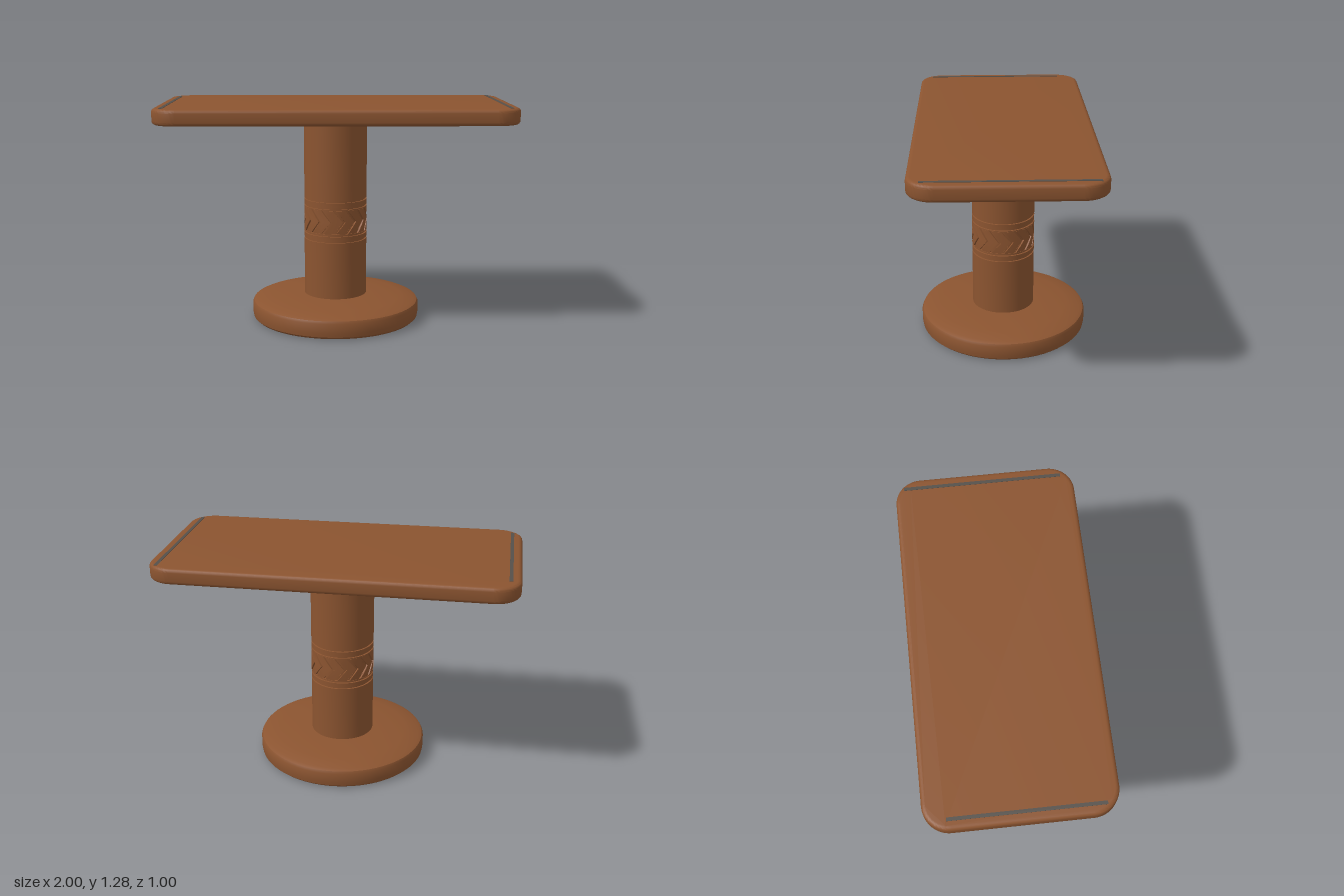
import * as THREE from 'three';
import { toCreasedNormals } from 'three/addons/utils/BufferGeometryUtils.js';

const COLUMN_R = 0.183, GROOVE_R = 0.173;

// Turned part from [radius, height] pairs, listed bottom to top
function turned(name, profile, material) {
  const points = profile.map(([r, y]) => new THREE.Vector2(r, y));
  const mesh = new THREE.Mesh(toCreasedNormals(new THREE.LatheGeometry(points, 64), 0.6), material);
  mesh.name = name;
  return mesh;
}

function roundedRectangle(w, d, r) {
  const x = w / 2, y = d / 2, s = new THREE.Shape();
  s.absarc(x - r, y - r, r, 0, Math.PI / 2);
  s.absarc(-x + r, y - r, r, Math.PI / 2, Math.PI);
  s.absarc(-x + r, -y + r, r, Math.PI, Math.PI * 1.5);
  s.absarc(x - r, -y + r, r, Math.PI * 1.5, Math.PI * 2);
  s.closePath();
  return s;
}

// Raised arrow shape, bent around the column
function chevronGeometry() {
  const w = 0.056, tip = 0.056, h = 0.068;
  const outline = [[0, -h], [w, -h], [w + tip / 2, -h / 2], [w + tip, 0], [w + tip / 2, h / 2],
    [w, h], [0, h], [tip / 2, h / 2], [tip, 0], [tip / 2, -h / 2]];
  const shape = new THREE.Shape(outline.map(([x, y]) => new THREE.Vector2(x, y)));
  const geometry = new THREE.ExtrudeGeometry(shape, { depth: COLUMN_R - GROOVE_R + 0.006, bevelEnabled: false });
  const p = geometry.attributes.position;
  for (let i = 0; i < p.count; i++) {
    const angle = p.getX(i) / COLUMN_R, r = GROOVE_R - 0.005 + p.getZ(i);
    p.setXYZ(i, r * Math.sin(angle), p.getY(i), r * Math.cos(angle));
  }
  return toCreasedNormals(geometry, 0.5);
}

export function createModel() {
  const model = new THREE.Group();
  model.name = 'pedestalTable';
  const wood = new THREE.MeshStandardMaterial({ color: 0x8b5430 });
  wood.name = 'brown wood';
  const grey = new THREE.MeshStandardMaterial({ color: 0x55504a });
  grey.name = 'grey inlay';

  // Round foot with a gently domed top
  model.add(turned('base', [[0, 0.002], [0.475, 0.004], [0.488, 0.016], [0.492, 0.04], [0.492, 0.095],
    [0.485, 0.109], [0.465, 0.118], [0.38, 0.131], [0.28, 0.141], [0.18, 0.147], [0, 0.147]], wood));

  // Column with four ring grooves and a recessed carved band
  const profile = [[COLUMN_R, 0.13]];
  for (const [low, high] of [[0.48, 0.49], [0.517, 0.67 + 0.015], [0.715, 0.725]]) {
    profile.push([COLUMN_R, low], [GROOVE_R, low], [GROOVE_R, high], [COLUMN_R, high]);
  }
  profile.push([COLUMN_R, 1.2]);
  model.add(turned('column', profile, wood));

  // Thin lips above and below the carving
  for (const y of [0.529, 0.673]) {
    model.add(turned('bandLip', [[GROOVE_R, y - 0.003], [COLUMN_R, y - 0.003],
      [COLUMN_R, y + 0.003], [GROOVE_R, y + 0.003]], wood));
  }

  // Carved ring of arrows
  const carving = new THREE.Group();
  carving.name = 'chevronBand';
  const chevron = chevronGeometry(), count = 16;
  for (let i = 0; i < count; i++) {
    const mesh = new THREE.Mesh(chevron, wood);
    mesh.name = 'chevron';
    mesh.position.y = 0.601;
    mesh.rotation.y = (i / count) * Math.PI * 2;
    carving.add(mesh);
  }
  model.add(carving);

  // Rounded tabletop with softened edges
  const bevel = 0.022;
  const slab = new THREE.ExtrudeGeometry(roundedRectangle(2 - 2 * bevel, 1 - 2 * bevel, 0.12), {
    depth: 0.05, bevelThickness: 0.02, bevelSize: bevel, bevelSegments: 4, curveSegments: 10 });
  slab.rotateX(-Math.PI / 2);
  const top = new THREE.Mesh(toCreasedNormals(slab, 0.6), wood);
  top.name = 'tabletop';
  top.position.y = 1.209;
  model.add(top);

  // Grey inlay strips near both ends
  for (const [x, z0, z1] of [[-0.943, -0.38, 0.43], [0.943, -0.45, 0.43]]) {
    const strip = new THREE.Mesh(new THREE.BoxGeometry(0.019, 0.004, z1 - z0), grey);
    strip.name = 'inlayStrip';
    strip.position.set(x, 1.279, (z0 + z1) / 2);
    model.add(strip);
  }
  return model;
}
